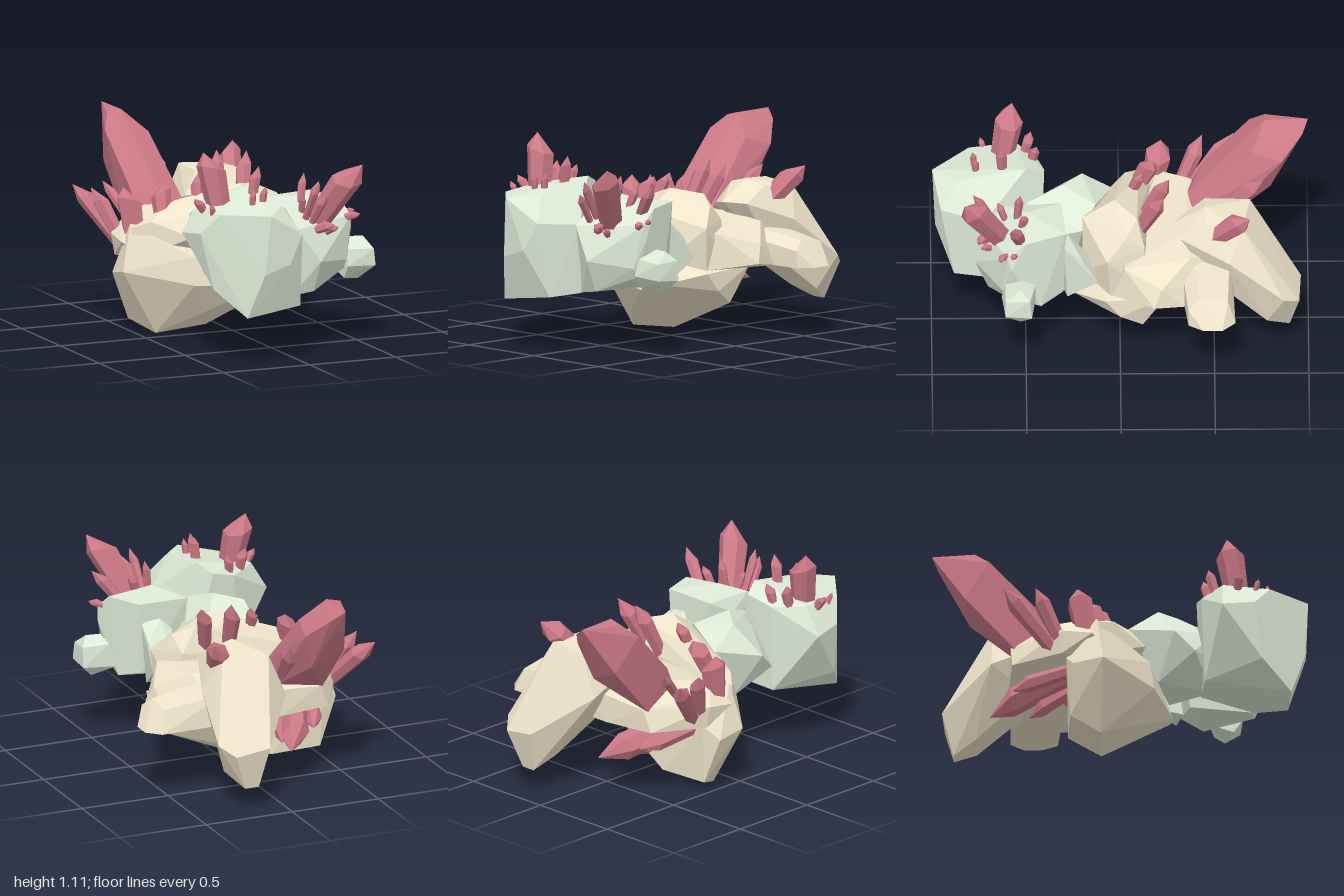
import * as THREE from 'three';
import { ConvexGeometry } from 'three/addons/geometries/ConvexGeometry.js';

const material = (color) => new THREE.MeshStandardMaterial({ color, flatShading: true });
const tan = material(0xeee4ca);
const green = material(0xdeead7);
const pink = material(0xcb7986);

// Faceted boulder: the hull of a few corner points
function rock(name, mat, corners) {
  const mesh = new THREE.Mesh(new ConvexGeometry(corners.map((c) => new THREE.Vector3(...c))), mat);
  mesh.name = name;
  return mesh;
}

// Six-sided crystal from base to tip, widening to a shoulder and ending in a cleaved, off-centre point
function crystal(base, tip, radius, turn) {
  const a = new THREE.Vector3(...base);
  const axis = new THREE.Vector3(...tip).sub(a);
  const length = axis.length();
  const lean = axis.x < 0 ? -1 : 1;
  const profile = [[0, 0], [0.8, 0], [1, 0.74], [0, 1]]
    .map(([r, h]) => new THREE.Vector2(r * radius, h * length));
  const geometry = new THREE.LatheGeometry(profile, 6, turn);
  const p = geometry.attributes.position;
  for (let i = 0; i < p.count; i++) {
    const h = p.getY(i) / length;
    if (h > 0.9) p.setX(i, lean * radius * 0.35);
    else if (h > 0.5) p.setY(i, p.getY(i) + lean * p.getX(i) * 0.4);
  }
  const mesh = new THREE.Mesh(geometry, pink);
  mesh.position.copy(a);
  mesh.quaternion.setFromUnitVectors(new THREE.Vector3(0, 1, 0), axis.normalize());
  mesh.name = 'crystal';
  return mesh;
}

function cluster(name, list) {
  const group = new THREE.Group();
  group.name = name;
  list.forEach(([base, tip, r], i) => group.add(crystal(base, tip, r, i * 0.7)));
  return group;
}

export function createModel() {
  const model = new THREE.Group();
  model.name = 'crystalRocks';

  // Green boulders at the front
  model.add(rock('largeGreenBoulder', green, [
    [-0.32, 0.26, 0.91], [0.0, 0.3, 0.88], [0.05, 0.31, 0.7], [-0.45, 0.4, 0.76], [-0.3, 0.34, 0.45],
    [-0.25, 0.5, 0.98], [-0.1, 0.55, 0.98], [-0.02, 0.7, 0.95], [-0.22, 0.82, 0.995], [-0.43, 0.81, 0.8],
    [-0.51, 0.7, 0.72], [-0.54, 0.68, 0.55], [-0.45, 0.83, 0.55], [-0.3, 0.82, 0.43], [-0.16, 0.86, 0.4],
    [-0.11, 0.9, 0.5], [-0.1, 0.84, 0.85], [0.0, 0.75, 0.7], [0.06, 0.68, 0.72], [-0.05, 0.36, 0.42]]));
  model.add(rock('rightGreenBoulder', green, [
    [0.04, 0.31, 0.68], [0.16, 0.33, 0.7], [0.38, 0.42, 0.6], [0.38, 0.36, 0.42], [0.05, 0.35, 0.36],
    [0.17, 0.5, 0.77], [0.05, 0.68, 0.74], [0.04, 0.77, 0.6], [0.15, 0.81, 0.5],
    [0.38, 0.47, 0.63], [0.43, 0.63, 0.58], [0.42, 0.7, 0.6], [0.4, 0.78, 0.5], [0.03, 0.78, 0.31],
    [0.32, 0.79, 0.29], [0.3, 0.4, 0.3], [0.0, 0.7, 0.45]]));
  model.add(rock('middleGreenBoulder', green, [
    [-0.27, 0.66, 0.04], [-0.02, 0.73, 0.13], [0.09, 0.64, 0.2], [-0.38, 0.6, 0.29], [-0.34, 0.5, 0.4],
    [-0.12, 0.79, 0.3], [-0.06, 0.72, 0.49], [-0.25, 0.77, 0.2], [-0.25, 0.36, 0.2], [0.0, 0.34, 0.25],
    [-0.1, 0.36, 0.48], [0.08, 0.6, 0.33], [0.04, 0.55, 0.55]]));
  model.add(rock('rearGreenBoulder', green, [
    [0.14, 0.64, 0.26], [0.2, 0.7, 0.28], [0.3, 0.68, 0.3], [0.3, 0.6, 0.2], [0.31, 0.46, 0.12],
    [0.18, 0.5, 0.13], [0.14, 0.38, 0.2], [0.28, 0.35, 0.28], [0.14, 0.35, 0.32]]));
  model.add(rock('sideGreenBoulder', green, [
    [0.4, 0.52, 0.61], [0.44, 0.57, 0.52], [0.52, 0.57, 0.53], [0.56, 0.52, 0.48], [0.56, 0.41, 0.47],
    [0.56, 0.42, 0.61], [0.55, 0.51, 0.61], [0.49, 0.34, 0.53], [0.39, 0.36, 0.58], [0.39, 0.43, 0.63],
    [0.38, 0.4, 0.45], [0.42, 0.53, 0.45]]));

  // Tan rocks behind
  model.add(rock('lowerTanRock', tan, [
    [-0.4, 0, -0.1], [-0.1, 0.02, -0.12], [-0.49, 0.06, -0.26], [-0.2, 0.06, -0.28], [0.33, 0.2, -0.12],
    [0.37, 0.28, 0.0], [0.37, 0.38, 0.08], [-0.59, 0.32, -0.24], [-0.6, 0.35, -0.08], [-0.3, 0.3, 0.18],
    [-0.21, 0.13, 0.09], [-0.48, 0.34, 0.02], [0.05, 0.28, 0.27], [0.2, 0.32, 0.25], [0.35, 0.39, -0.24],
    [-0.5, 0.39, -0.28], [-0.54, 0.6, -0.12], [-0.3, 0.45, 0.16]]));
  model.add(rock('upperTanRock', tan, [
    [-0.54, 0.58, -0.1], [-0.46, 0.62, -0.03], [-0.29, 0.71, -0.1], [0.16, 0.77, -0.09], [0.27, 0.72, -0.03],
    [0.03, 0.8, 0.03], [0.05, 0.7, 0.2], [-0.29, 0.55, 0.13], [0.35, 0.62, 0.07], [0.19, 0.45, 0.2],
    [0.33, 0.39, 0.05], [-0.55, 0.4, -0.1], [-0.4, 0.38, -0.18], [0.3, 0.4, -0.13], [0.25, 0.64, -0.13],
    [-0.4, 0.6, -0.16]]));
  model.add(rock('tanLedge', tan, [
    [-0.55, 0.4, -0.3], [-0.4, 0.4, -0.57], [-0.1, 0.39, -0.6], [0.25, 0.39, -0.6], [0.43, 0.39, -0.35],
    [0.49, 0.42, -0.18], [0.33, 0.39, 0.04], [-0.4, 0.39, 0.0], [-0.57, 0.52, -0.3], [-0.47, 0.56, -0.4],
    [-0.38, 0.64, -0.37], [0.1, 0.64, -0.34], [0.3, 0.61, -0.37], [0.46, 0.52, -0.22], [0.35, 0.58, -0.02],
    [-0.58, 0.5, -0.14], [-0.48, 0.62, -0.2], [-0.35, 0.52, -0.58], [0.1, 0.55, -0.6]]));
  model.add(rock('backTanRock', tan, [
    [0.11, 0.36, -0.96], [0.37, 0.38, -0.87], [0.3, 0.33, -0.95], [0.15, 0.13, -0.9], [0.23, 0.13, -0.9],
    [0.3, 0.2, -0.78], [0.1, 0.2, -0.78], [-0.1, 0.55, -0.69], [-0.09, 0.66, -0.41], [0.0, 0.78, -0.69],
    [0.25, 0.77, -0.65], [-0.01, 0.78, -0.45], [0.11, 0.81, -0.45], [0.23, 0.78, -0.46], [0.11, 0.7, -0.27],
    [0.25, 0.7, -0.32], [0.34, 0.6, -0.58], [0.25, 0.42, -0.5], [0.0, 0.42, -0.5]]));
  model.add(rock('sideTanRock', tan, [
    [0.2, 0.56, -0.58], [0.2, 0.58, -0.38], [0.55, 0.51, -0.57], [0.56, 0.53, -0.42], [0.59, 0.48, -0.36],
    [0.65, 0.39, -0.54], [0.65, 0.39, -0.44], [0.58, 0.39, -0.61], [0.6, 0.39, -0.36], [0.25, 0.39, -0.6],
    [0.25, 0.39, -0.32], [0.3, 0.52, -0.33]]));

  // Largest crystal, a broad blade with a chisel end
  model.add(rock('giantCrystal', pink, [
    [-0.31, 1.08, -1.0], [-0.24, 1.03, -0.97], [-0.14, 0.92, -0.86], [-0.38, 1.06, -0.77], [-0.43, 0.99, -0.69],
    [-0.3, 1.08, -0.77], [-0.17, 0.96, -0.7], [-0.38, 0.8, -0.82], [-0.2, 0.72, -0.8], [-0.4, 0.74, -0.45],
    [-0.38, 0.62, -0.38], [-0.24, 0.65, -0.36], [-0.1, 0.62, -0.39], [-0.1, 0.52, -0.5], [-0.37, 0.5, -0.55]]));

  // Crystals, each given as base, tip and radius
  model.add(cluster('largeBoulderCrystals', [
    [[-0.35, 0.76, 0.63], [-0.4, 1.11, 0.57], 0.075],
    [[-0.17, 0.8, 0.62], [-0.14, 1.02, 0.63], 0.032],
    [[-0.23, 0.8, 0.77], [-0.23, 0.93, 0.78], 0.018],
    [[-0.17, 0.8, 0.76], [-0.16, 0.94, 0.77], 0.02],
    [[-0.29, 0.78, 0.48], [-0.27, 0.94, 0.44], 0.028],
    [[-0.36, 0.78, 0.52], [-0.37, 0.95, 0.47], 0.03],
    [[-0.42, 0.76, 0.62], [-0.5, 0.88, 0.64], 0.025],
    [[-0.43, 0.76, 0.71], [-0.45, 0.86, 0.74], 0.017]]));
  model.add(cluster('rightBoulderCrystals', [
    [[0.2, 0.67, 0.62], [0.36, 1.03, 0.83], 0.078],
    [[0.28, 0.68, 0.51], [0.46, 0.92, 0.57], 0.036],
    [[0.13, 0.72, 0.66], [0.15, 0.93, 0.78], 0.024],
    [[0.14, 0.71, 0.72], [0.17, 0.87, 0.83], 0.024],
    [[0.15, 0.74, 0.55], [0.17, 0.94, 0.53], 0.024],
    [[0.13, 0.72, 0.6], [0.12, 0.85, 0.65], 0.02],
    [[0.22, 0.74, 0.53], [0.27, 0.88, 0.5], 0.024],
    [[0.16, 0.65, 0.68], [0.25, 0.7, 0.76], 0.028],
    [[0.23, 0.63, 0.67], [0.28, 0.68, 0.74], 0.02],
    [[0.36, 0.68, 0.58], [0.45, 0.72, 0.65], 0.022],
    [[0.38, 0.7, 0.54], [0.45, 0.73, 0.58], 0.016]]));
  model.add(cluster('ridgeCrystals', [
    [[-0.02, 0.62, -0.11], [0.01, 0.93, -0.26], 0.045],
    [[0.1, 0.62, -0.08], [0.17, 0.92, -0.23], 0.045],
    [[-0.18, 0.66, -0.04], [-0.16, 0.84, -0.12], 0.033],
    [[-0.36, 0.58, -0.08], [-0.34, 0.8, -0.18], 0.055],
    [[-0.49, 0.5, -0.17], [-0.51, 0.78, -0.22], 0.07]]));
  model.add(cluster('backCrystals', [
    [[0.2, 0.64, -0.45], [0.29, 0.88, -0.69], 0.062],
    [[-0.15, 0.55, -0.5], [-0.11, 0.83, -0.76], 0.05]]));
  model.add(cluster('leftCrystals', [
    [[-0.49, 0.45, -0.35], [-0.64, 0.74, -0.61], 0.05],
    [[-0.5, 0.45, -0.3], [-0.61, 0.75, -0.44], 0.045],
    [[-0.42, 0.55, -0.38], [-0.49, 0.75, -0.57], 0.028]]));
  model.add(cluster('undersideCrystals', [
    [[-0.36, 0.4, -0.2], [-0.15, 0.23, -0.71], 0.075],
    [[-0.28, 0.34, -0.2], [-0.18, 0.2, -0.5], 0.05],
    [[-0.42, 0.36, -0.24], [-0.33, 0.29, -0.58], 0.045],
    [[-0.08, 0.26, -0.2], [-0.06, 0.45, -0.38], 0.04]]));

  return model;
}
